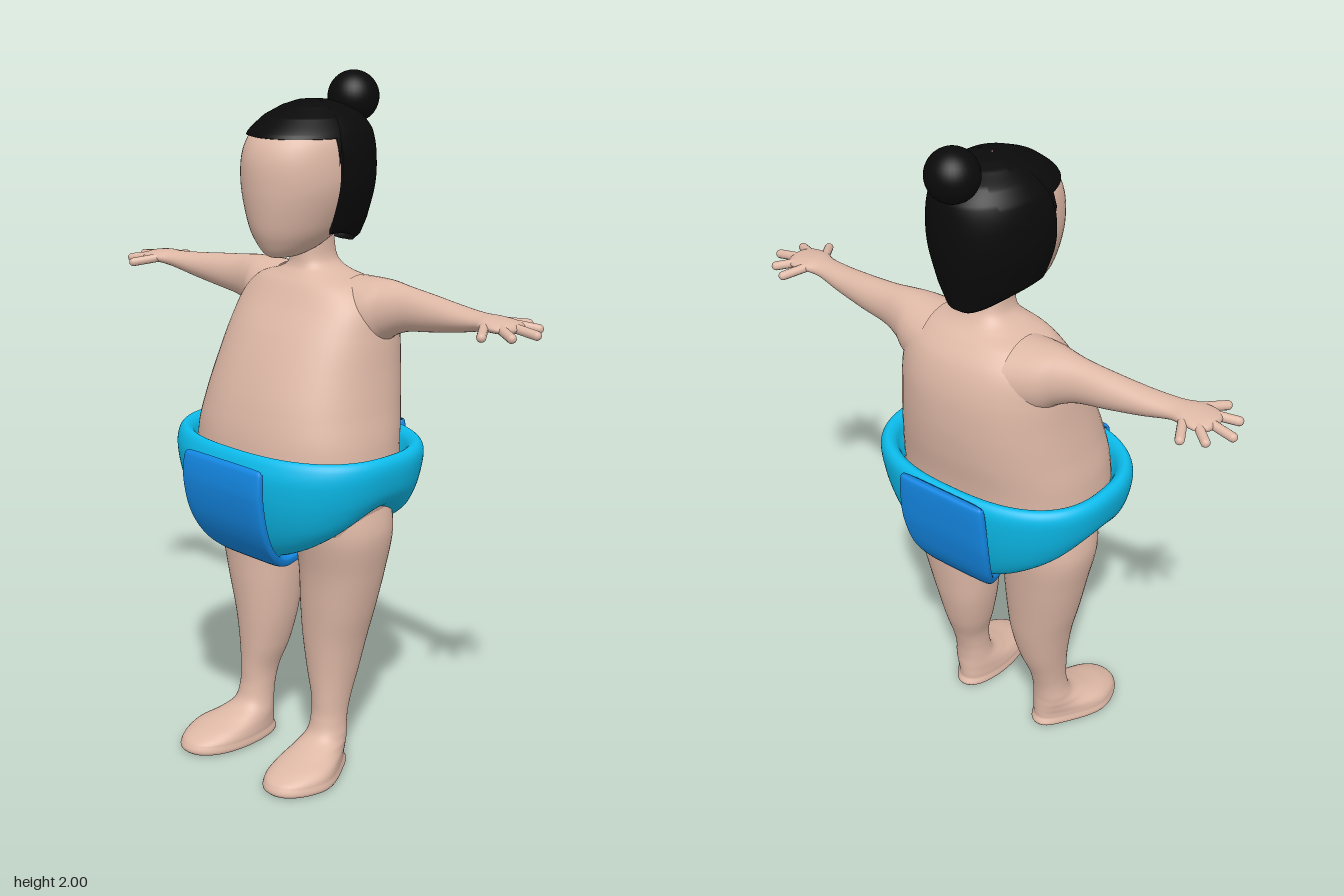
import * as THREE from 'three';
import { ParametricGeometry } from 'three/addons/geometries/ParametricGeometry.js';

const mat = (color) => new THREE.MeshStandardMaterial({ color, roughness: 0.8, side: THREE.DoubleSide });
const skin = mat(0xdeb8a6), hairMat = mat(0x0a0a0a), cloth = mat(0x0cbcec), padMat = mat(0x1488e4);

// Smooth interpolation through table rows, t in 0..1
function rowAt(rows, t) {
  const n = rows.length - 1, f = Math.min(Math.max(t, 0), 1) * n;
  const i = Math.min(Math.floor(f), n - 1), k = f - i;
  const at = (j) => rows[Math.min(Math.max(j, 0), n)];
  return rows[0].map((_, c) => {
    const [p, a, b, q] = [at(i - 1)[c], at(i)[c], at(i + 1)[c], at(i + 2)[c]];
    return a + 0.5 * k * (b - p + k * (2 * p - 5 * a + 4 * b - q + k * (3 * (a - b) + q - p)));
  });
}
const power = (c, n) => Math.sign(c) * Math.abs(c) ** (2 / n);

// Rows: [position along axis, lateral min, lateral max, z front, z back]
function loft(rows, { axis = 'y', side = 1, n = 2, shape = null, nu = 56 } = {}) {
  return new ParametricGeometry((u, v, p) => {
    const a = u * Math.PI * 2 * side;
    const [d, l0, l1, zf, zb] = rowAt(rows, v);
    const z = (zf + zb) / 2 + (zf - zb) / 2 * power(Math.cos(a), n);
    const s = power(Math.sin(a), n) * (axis === 'x' ? -1 : 1);
    const lat = (l0 + l1) / 2 + (l1 - l0) / 2 * s;
    if (axis === 'x') p.set(d, lat, z); else p.set(lat, d, z);
    if (shape) shape(p, v);
    p.x *= side;
  }, nu, (rows.length - 1) * 6);
}
const sym = (rows) => rows.map(([y, r, zf, zb]) => [y, -r, r, zf, zb]);

export function createModel() {
  const model = new THREE.Group();
  const add = (name, geo, m, parent = model) => {
    const mesh = new THREE.Mesh(geo, m);
    mesh.name = name;
    parent.add(mesh);
    return mesh;
  };

  // Trunk and neck
  add('torso', loft(sym([
    [0.76, 0.28, 0.2, -0.2], [0.88, 0.31, 0.235, -0.23], [1.0, 0.307, 0.235, -0.245],
    [1.1, 0.289, 0.215, -0.262], [1.2, 0.272, 0.178, -0.27], [1.3, 0.258, 0.128, -0.265],
    [1.38, 0.24, 0.075, -0.24], [1.43, 0.19, 0.042, -0.2], [1.455, 0.115, 0.02, -0.165],
    [1.475, 0.075, 0.005, -0.145], [1.505, 0.057, 0, -0.13], [1.57, 0.055, 0, -0.12],
  ]), { n: 2.35 }), skin);

  // Head with a narrow chin
  add('head', loft(sym([
    [1.508, 0.002, 0.075, 0.03], [1.515, 0.04, 0.105, -0.01], [1.545, 0.08, 0.128, -0.08],
    [1.6, 0.119, 0.149, -0.15], [1.7, 0.155, 0.162, -0.21], [1.79, 0.156, 0.157, -0.21],
    [1.85, 0.138, 0.122, -0.195], [1.89, 0.09, 0.05, -0.14], [1.905, 0.002, -0.05, -0.054],
  ])), skin);

  // Bobbed hair: lower edge is high over the face and low at the sides and back
  const hairRows = [
    [1.5, 0.075, 0.1, -0.2], [1.54, 0.1, 0.135, -0.22], [1.6, 0.136, 0.155, -0.235],
    [1.7, 0.168, 0.17, -0.25], [1.79, 0.17, 0.165, -0.25], [1.85, 0.154, 0.135, -0.238],
    [1.89, 0.122, 0.085, -0.205], [1.915, 0.083, 0.03, -0.155], [1.928, 0.045, -0.015, -0.11],
    [1.933, 0.002, -0.06, -0.064],
  ];
  add('hair', new ParametricGeometry((u, v, p) => {
    const a = (u - 0.5) * Math.PI * 2, b = Math.abs(a);
    const fall = THREE.MathUtils.smoothstep(b, 1.36, 1.42);
    const low = 1.575 - 0.05 * THREE.MathUtils.smoothstep(b, 1.5, 3.0);
    const edge = THREE.MathUtils.lerp(1.838, low, fall);
    const y = edge + (1.933 - edge) * Math.sin(v * Math.PI / 2);
    let i = 0;
    while (i < hairRows.length - 2 && hairRows[i + 1][0] < y) i++;
    const t = (i + (y - hairRows[i][0]) / (hairRows[i + 1][0] - hairRows[i][0])) / (hairRows.length - 1);
    const [, r, zf, zb] = rowAt(hairRows, t);
    const k = v === 0 ? 0.92 : 1;
    p.set(k * r * Math.sin(a), y, (zf + zb) / 2 + k * (zf - zb) / 2 * Math.cos(a));
  }, 128, 40), hairMat);
  add('hairBun', new THREE.SphereGeometry(0.073, 32, 20).translate(0, 1.927, -0.222), hairMat);

  // Arms, hands and legs on both sides
  for (const side of [1, -1]) {
    const label = side > 0 ? 'left' : 'right';
    const arm = new THREE.Group();
    arm.name = label + 'Arm';
    model.add(arm);
    add(label + 'ArmAndPalm', loft([
      [0.14, 1.24, 1.455, 0.01, -0.22], [0.22, 1.265, 1.458, -0.01, -0.195],
      [0.27, 1.3, 1.457, -0.035, -0.17], [0.33, 1.325, 1.45, -0.05, -0.152],
      [0.42, 1.34, 1.441, -0.05, -0.143], [0.52, 1.358, 1.431, -0.045, -0.13],
      [0.6, 1.376, 1.426, -0.038, -0.118], [0.645, 1.384, 1.425, -0.022, -0.128],
      [0.69, 1.386, 1.42, -0.02, -0.132], [0.715, 1.389, 1.414, -0.035, -0.115],
      [0.725, 1.4, 1.402, -0.07, -0.076],
    ], { axis: 'x', side, nu: 40 }), skin, arm);
    // Fingers: root x, root z, tip x, tip z
    [[0.64, -0.105, 0.68, -0.183], [0.68, -0.105, 0.738, -0.152], [0.69, -0.08, 0.78, -0.088],
      [0.68, -0.05, 0.755, -0.015], [0.64, -0.045, 0.692, 0.032]].forEach(([x0, z0, x1, z1], i) => {
      const from = new THREE.Vector3(side * x0, 1.405, z0), to = new THREE.Vector3(side * x1, 1.392, z1);
      const dir = to.clone().sub(from);
      const finger = add(label + 'Finger' + (i + 1), new THREE.CapsuleGeometry(0.013, dir.length() - 0.01, 6, 12), skin, arm);
      finger.position.copy(from).lerp(to, 0.5);
      finger.quaternion.setFromUnitVectors(new THREE.Vector3(0, 1, 0), dir.normalize());
    });

    // Leg and foot in one skin, heel narrower than toes
    add(label + 'LegAndFoot', loft([
      [0, 0.17, 0.174, 0.13, 0.126], [0, 0.09, 0.27, 0.272, -0.028], [0.03, 0.085, 0.275, 0.28, -0.03],
      [0.055, 0.088, 0.268, 0.235, -0.03], [0.08, 0.094, 0.24, 0.155, -0.03], [0.11, 0.1, 0.213, 0.093, -0.03],
      [0.16, 0.103, 0.204, 0.073, -0.036], [0.22, 0.098, 0.206, 0.07, -0.053], [0.3, 0.074, 0.216, 0.073, -0.083],
      [0.4, 0.053, 0.234, 0.08, -0.108], [0.5, 0.043, 0.26, 0.088, -0.124], [0.62, 0.038, 0.287, 0.098, -0.142],
      [0.74, 0.03, 0.308, 0.12, -0.158], [0.84, 0.03, 0.29, 0.13, -0.16],
    ], {
      side, n: 2.15, nu: 48, shape: (p) => {
        p.y = Math.max(p.y, 0);
        const heel = (1 - THREE.MathUtils.smoothstep(p.z, -0.03, 0.17)) * (1 - THREE.MathUtils.smoothstep(p.y, 0.04, 0.12));
        p.x = THREE.MathUtils.lerp(p.x, 0.15 + (p.x - 0.18) * 0.72, heel);
      },
    }), skin);
  }

  // Puffy brief with a rolled rim; the sides lift around the legs
  add('brief', loft(sym([
    [0.652, 0.004, 0.02, -0.02], [0.655, 0.06, 0.13, -0.15], [0.675, 0.15, 0.185, -0.2],
    [0.71, 0.245, 0.222, -0.232], [0.77, 0.312, 0.25, -0.257], [0.85, 0.35, 0.272, -0.278],
    [0.93, 0.371, 0.28, -0.289], [0.975, 0.373, 0.271, -0.288], [0.996, 0.357, 0.255, -0.272],
    [0.985, 0.335, 0.235, -0.25], [0.95, 0.32, 0.22, -0.235], [0.88, 0.29, 0.2, -0.21],
  ]), {
    n: 2.5, nu: 96, shape: (p, v) => {
      const wide = THREE.MathUtils.smoothstep(Math.abs(p.x), 0.04, 0.24);
      const low = 1 - THREE.MathUtils.smoothstep(p.y, 0.66, 0.92);
      if (v < 0.6) p.y += 0.11 * wide * low * Math.exp(-(((p.z + 0.02) / 0.13) ** 2));
    },
  }), cloth);

  // Pad wrapping front to back under the crotch: [y, z, half width, half thickness]
  const path = [
    [0.962, 0.283, 0.146, 0.003], [0.955, 0.288, 0.155, 0.014], [0.88, 0.291, 0.157, 0.016],
    [0.78, 0.268, 0.152, 0.016], [0.7, 0.218, 0.133, 0.016], [0.652, 0.14, 0.1, 0.016],
    [0.643, 0.04, 0.065, 0.014], [0.643, -0.07, 0.065, 0.014], [0.66, -0.185, 0.1, 0.016],
    [0.73, -0.25, 0.135, 0.016], [0.83, -0.282, 0.15, 0.016], [0.92, -0.293, 0.15, 0.016],
    [0.988, -0.297, 0.145, 0.014], [0.996, -0.297, 0.138, 0.003],
  ];
  add('pad', new ParametricGeometry((u, v, p) => {
    const [y, z, w, h] = rowAt(path, v);
    const a = rowAt(path, v - 0.02), b = rowAt(path, v + 0.02);
    const ty = b[0] - a[0], tz = b[1] - a[1], len = Math.hypot(ty, tz);
    const ang = -u * Math.PI * 2;
    const out = h * power(Math.cos(ang), 5);
    p.set(w * power(Math.sin(ang), 5), y + out * tz / len, z - out * ty / len);
  }, 48, 78), padMat);

  return model;
}
